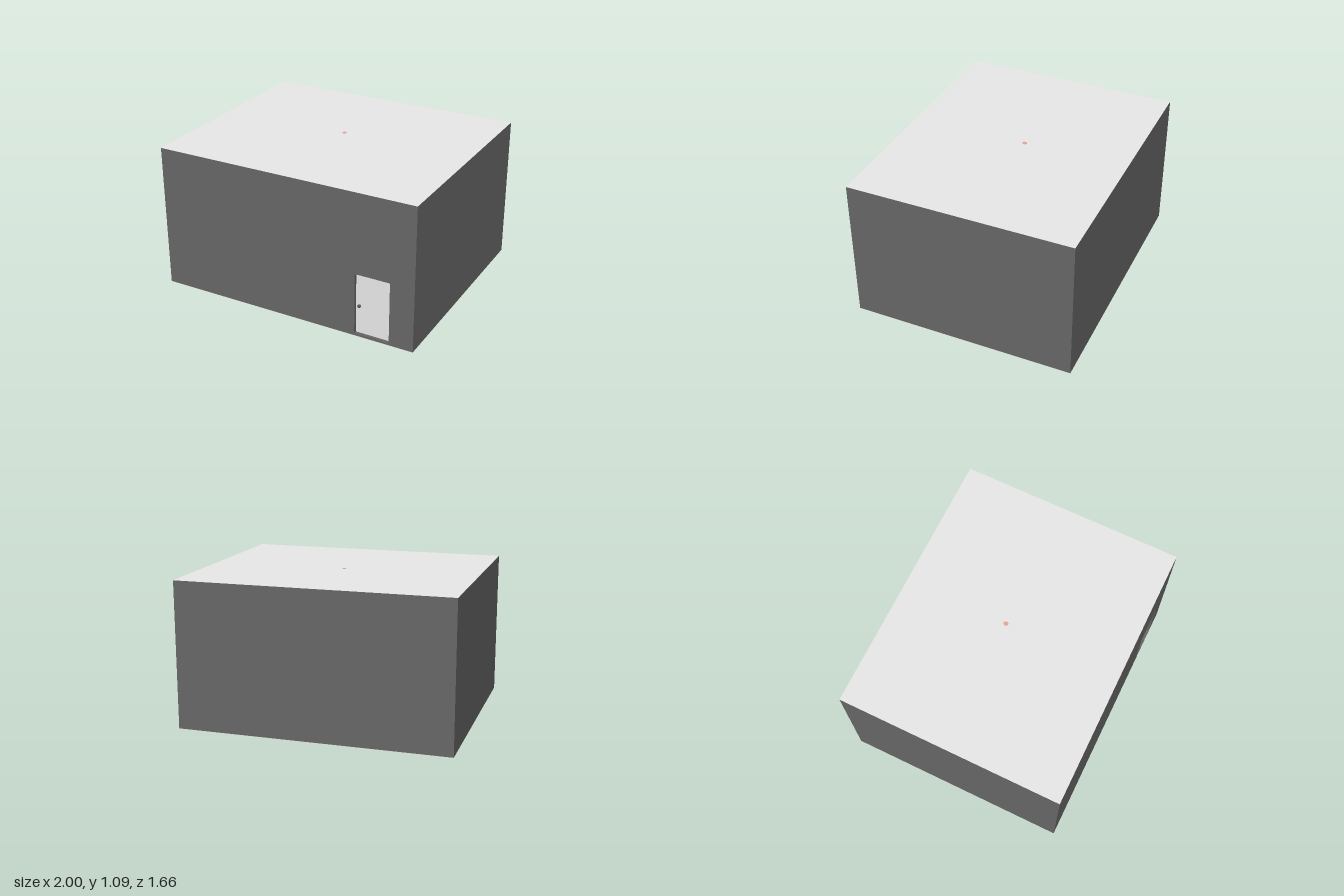
import * as THREE from 'three';

const mat = (name, color) => Object.assign(new THREE.MeshStandardMaterial({ color }), { name });

// Rounded rectangle traced on a Shape or Path
function roundedRect(path, x0, y0, x1, y1, r) {
  path.moveTo(x0 + r, y0);
  path.lineTo(x1 - r, y0);
  path.quadraticCurveTo(x1, y0, x1, y0 + r);
  path.lineTo(x1, y1 - r);
  path.quadraticCurveTo(x1, y1, x1 - r, y1);
  path.lineTo(x0 + r, y1);
  path.quadraticCurveTo(x0, y1, x0, y1 - r);
  path.lineTo(x0, y0 + r);
  path.quadraticCurveTo(x0, y0, x0 + r, y0);
  return path;
}

export function createModel() {
  const model = new THREE.Group();
  model.name = 'room';
  const wallGrey = mat('wall grey', 0x666666);
  const white = mat('white', 0xf6f6f6);
  const brown = mat('floor wood', 0xd8a993);
  const dark = mat('dark grey', 0x555555);
  const pink = mat('lamp pink', 0xf6aea3);

  const add = (name, geometry, material, x = 0, y = 0, z = 0) => {
    const mesh = new THREE.Mesh(geometry, material);
    mesh.name = name;
    mesh.position.set(x, y, z);
    model.add(mesh);
    return mesh;
  };

  const W = 1, D = 0.832, Y0 = 0.007, Y1 = 1.09, T = 0.04, skin = 0.001;
  const low = Y0 + skin, high = Y1 - skin, H = high - low, midY = (low + high) / 2;

  // Floor and ceiling sheets close the shell to its outer edges
  add('floor', new THREE.BoxGeometry(2 * W, skin, 2 * D), brown, 0, Y0 + skin / 2, 0);
  add('ceiling', new THREE.BoxGeometry(2 * W, skin, 2 * D), white, 0, Y1 - skin / 2, 0);

  // Side and back walls
  for (const [name, s] of [['leftWall', 1], ['rightWall', -1]])
    add(name, new THREE.BoxGeometry(T, H, 2 * D - 2 * T), wallGrey, s * (W - T / 2), midY, 0);
  add('backWall', new THREE.BoxGeometry(2 * W, H, T), wallGrey, 0, midY, -D + T / 2);

  // Front wall with the doorway cut out
  const doorway = [0.557, 0.024, 0.82, 0.488, 0.01];
  const front = new THREE.Shape();
  front.moveTo(-W, low);
  front.lineTo(W, low);
  front.lineTo(W, high);
  front.lineTo(-W, high);
  front.closePath();
  front.holes.push(roundedRect(new THREE.Path(), ...doorway));
  add('frontWall', new THREE.ExtrudeGeometry(front, { depth: T, bevelEnabled: false }),
    wallGrey, 0, 0, D - T);

  // Recessed door and its knob
  const door = roundedRect(new THREE.Shape(), ...doorway);
  add('door', new THREE.ExtrudeGeometry(door, { depth: 0.015, bevelEnabled: false }),
    white, 0, 0, D - T);
  add('doorKnob', new THREE.SphereGeometry(0.013, 16, 12), dark, 0.585, 0.239, D - 0.015);

  // Lamp mount showing through the ceiling
  const mount = add('lampMount', new THREE.CylinderGeometry(0.016, 0.016, 0.002, 24),
    pink, 0, Y1, -0.05);
  mount.scale.z = 1.15;

  // Furniture feet poking through the floor
  const foot = new THREE.CylinderGeometry(0.014, 0.014, 0.008, 24);
  for (const x of [0.445, -0.122])
    for (const z of [-0.64, -0.522]) add('darkFoot', foot, dark, x, 0.007, z);

  const peg = new THREE.CylinderGeometry(0.004, 0.004, 0.008, 16);
  const pegs = (xs, zs) => {
    for (const x of xs) for (const z of zs) add('woodenFoot', peg, brown, x, 0.008, z);
  };
  pegs([-0.96, -0.855], [0.25, 0.4, -0.35, -0.49]);
  pegs([-0.165, -0.085], [0.43, 0.505]);

  return model;
}
